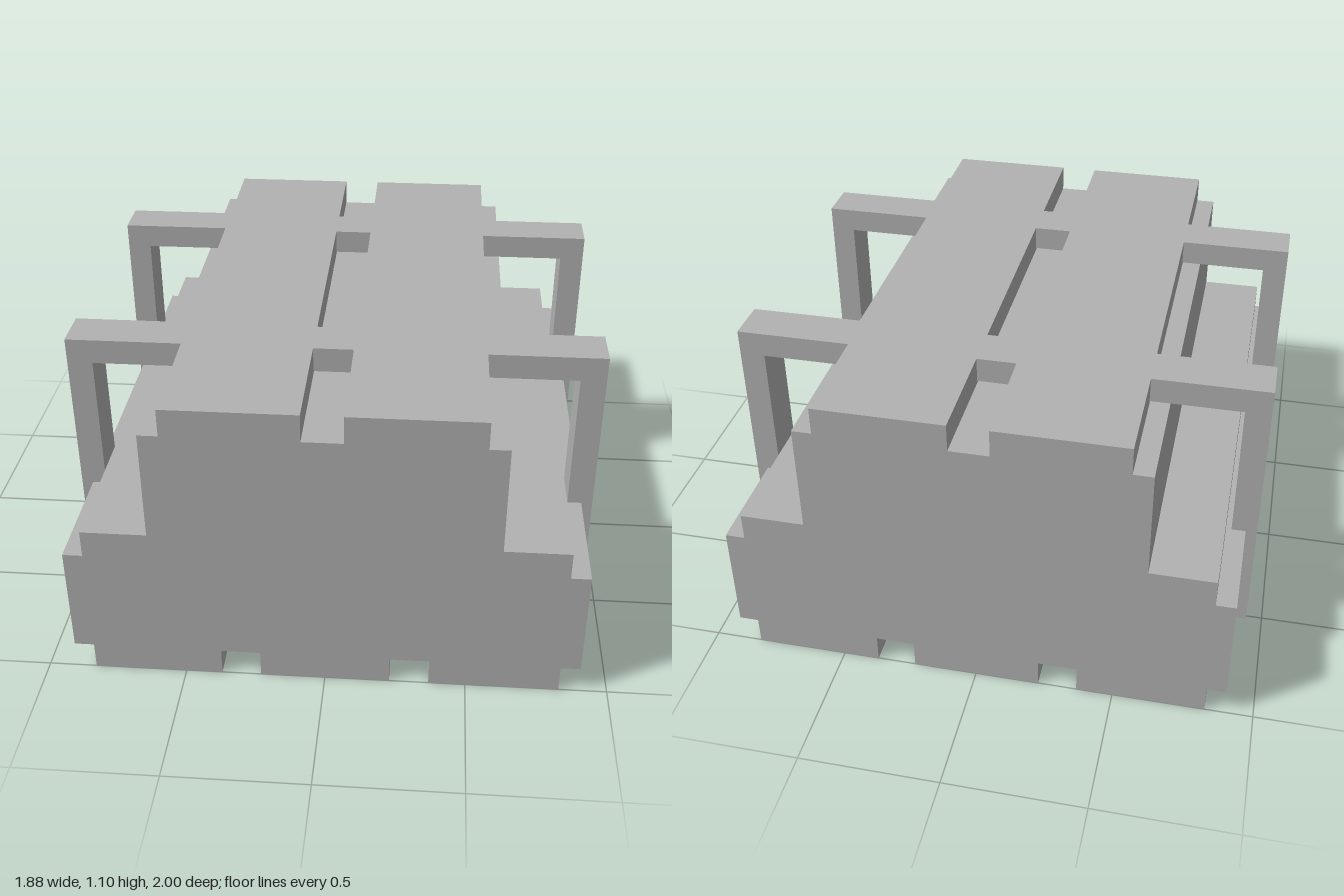
import * as THREE from 'three';

export function createModel() {
  const model = new THREE.Group();
  const grey = new THREE.MeshStandardMaterial({ color: 0xb2b2b2 });
  grey.name = 'plain grey';

  const vec = (points) => points.map(([x, y]) => new THREE.Vector2(x, y));

  // Extrudes a profile between two z positions
  function addSlab(name, shape, zBack, zFront) {
    const geometry = new THREE.ExtrudeGeometry(shape, { depth: zFront - zBack, bevelEnabled: false });
    const mesh = new THREE.Mesh(geometry, grey);
    mesh.name = name;
    mesh.position.z = zBack;
    model.add(mesh);
  }

  // Stepped body: half profile from bottom centre to top centre, then mirrored
  const half = [
    [0.23, 0], [0.23, 0.1], [0.37, 0.1], [0.37, 0], // bottom groove
    [0.83, 0], [0.83, 0.1], [0.9, 0.1], [0.9, 0.5], [0.83, 0.5], [0.83, 0.6], // lower tier
    [0.6, 0.6], [0.6, 1], [0.53, 1], [0.53, 1.1], // upper tier
    [0.07, 1.1], [0.07, 1], // top groove
  ];
  const mirrored = half.map(([x, y]) => [-x, y]).reverse();
  addSlab('steppedBody', new THREE.Shape(vec([...half, ...mirrored])), -1, 1);

  // Rectangular straps wrapped round the body
  const rect = (w, y0, y1) => vec([[-w, y0], [w, y0], [w, y1], [-w, y1]]);
  const strap = new THREE.Shape(rect(0.94, 0.08, 1.1));
  strap.holes.push(new THREE.Path(rect(0.85, 0.17, 1.01)));
  addSlab('frontStrap', strap, 0.4, 0.56);
  addSlab('backStrap', strap, -0.6, -0.44);

  return model;
}
